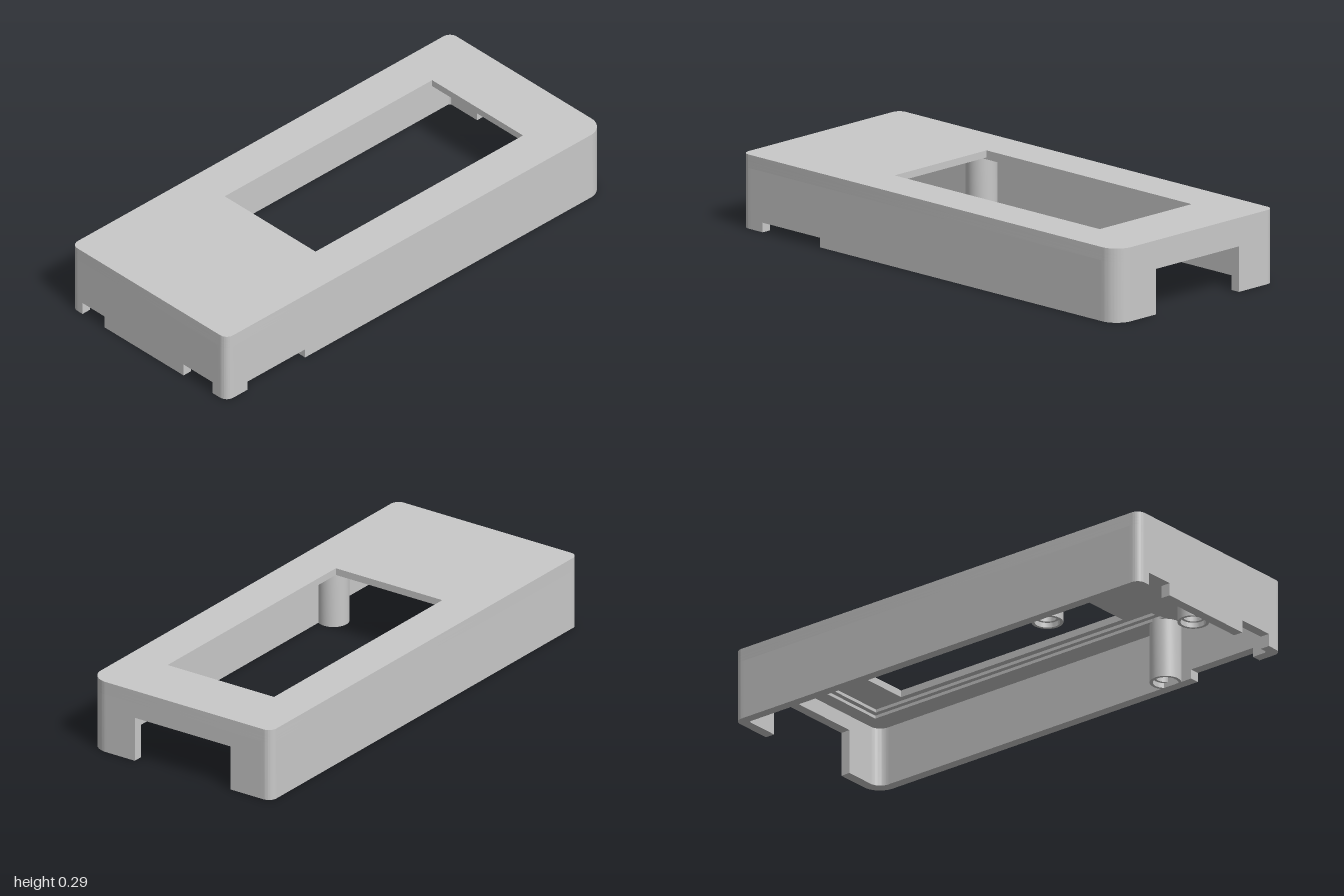
import * as THREE from 'three';
import { toCreasedNormals } from 'three/addons/utils/BufferGeometryUtils.js';

const HX = 0.427, HZ = 1, H = 0.293;   // half width, half length, height
const T = 0.04;                        // wall thickness
const CEIL = 0.24;                     // underside of the roof
const R = 0.035, R_BIG = 0.078;        // corner radii
const CORNERS = [[1, 1, R], [-1, 1, R], [-1, -1, R], [1, -1, R_BIG]];
const cornerSize = (r) => T + Math.max(r - T, 0) + 0.01;

export function createModel() {
  const group = new THREE.Group();
  const grey = new THREE.MeshStandardMaterial({ color: 0xc9c9c9 });
  grey.name = 'plain grey';

  const add = (name, geometry) => {
    const mesh = new THREE.Mesh(toCreasedNormals(geometry, 0.6), grey);
    mesh.name = name;
    group.add(mesh);
    return mesh;
  };
  const extrude = (shape, depth) =>
    new THREE.ExtrudeGeometry(shape, { depth, bevelEnabled: false, curveSegments: 10 });

  // horizontal slab drawn in x and z, filling y0 to y1
  const slab = (shape, y0, y1) => extrude(shape, y1 - y0).rotateX(Math.PI / 2).translate(0, y1, 0);

  // rounded footprint with a rectangular opening
  const footprint = (hx, z0, z1) => {
    const s = new THREE.Shape();
    CORNERS.forEach(([sx, sz, r], i) =>
      s.absarc(sx * (HX - r), sz * (HZ - r), r, i * Math.PI / 2, (i + 1) * Math.PI / 2, false));
    s.holes.push(new THREE.Path([[-hx, z0], [-hx, z1], [hx, z1], [hx, z0]].map((p) => new THREE.Vector2(...p))));
    return s;
  };
  // roof with a window, stepped back in two ledges underneath
  add('topPlate', slab(footprint(0.25, -0.735, 0.36), 0.265, H));
  add('innerLedge', slab(footprint(0.275, -0.88, 0.5), 0.2525, 0.265));
  add('outerLedge', slab(footprint(0.295, -0.9, 0.525), CEIL, 0.2525));

  // corner pieces between the walls
  for (const [sx, sz, r] of CORNERS) {
    const c = cornerSize(r);
    const s = new THREE.Shape();
    s.moveTo(c, 0);
    s.lineTo(r, 0);
    s.absarc(r, r, r, -Math.PI / 2, -Math.PI, true);
    s.lineTo(0, c);
    s.lineTo(T, c);
    s.absarc(c, c, c - T, Math.PI, Math.PI * 1.5, false);
    const pts = s.getPoints(10).map((p) => new THREE.Vector2(sx * (HX - p.x), sz * (HZ - p.y)));
    add('corner', slab(new THREE.Shape(pts), 0, CEIL));
  }

  // upright wall from u0 to u1 with notches [from, to, height] in its lower edge
  const wall = (u0, u1, notches) => {
    const s = new THREE.Shape();
    s.moveTo(u0, 0);
    for (const [a, b, h] of notches) {
      s.lineTo(a, 0);
      s.lineTo(a, h);
      s.lineTo(b, h);
      s.lineTo(b, 0);
    }
    s.lineTo(u1, 0);
    s.lineTo(u1, CEIL);
    s.lineTo(u0, CEIL);
    return extrude(s, T);
  };
  const c = cornerSize(R), cb = cornerSize(R_BIG);
  add('frontWall', wall(-HX + c, HX - c, [[-0.365, -0.243, 0.051], [0.191, 0.35, 0.051]]).translate(0, 0, HZ - T));
  add('backWall', wall(-HX + c, HX - cb, [[-0.237, 0.213, 0.18]]).translate(0, 0, -HZ));
  add('leftWall', wall(-HZ + cb, HZ - c, [[0.585, 0.89, 0.038]]).rotateY(-Math.PI / 2).translate(HX, 0, 0));
  add('rightWall', wall(-HZ + c, HZ - c, []).rotateY(-Math.PI / 2).translate(-HX + T, 0, 0));

  // hollow screw posts hanging from the roof
  const profile = [[0, 0.17], [0.038, 0.17], [0.038, 0.02], [0.049, 0.02], [0.049, 0], [0.061, 0], [0.061, CEIL + 0.01]]
    .map((p) => new THREE.Vector2(...p));
  for (const [x, z] of [[-0.353, 0.487], [0.353, 0.487], [0, 0.916]]) {
    add('screwPost', new THREE.LatheGeometry(profile, 32)).position.set(x, 0, z);
  }
  return group;
}
